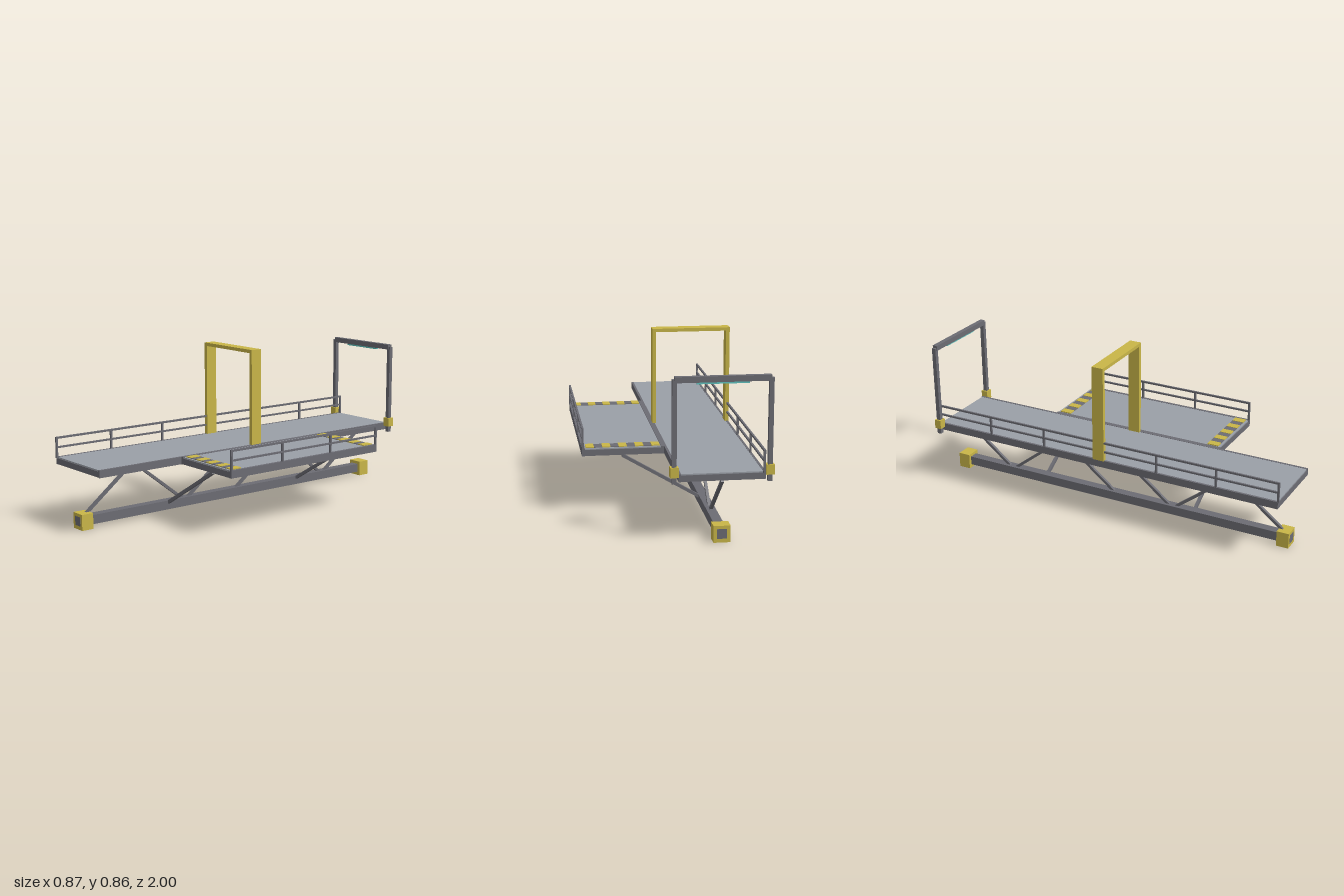
import * as THREE from 'three';

const mat = (name, color) => {
  const m = new THREE.MeshStandardMaterial({ color });
  m.name = name;
  return m;
};

export function createModel() {
  const model = new THREE.Group();
  model.name = 'gantryPlatform';
  const steel = mat('steelGrey', 0x6c6c73);
  const plate = mat('plateGrey', 0x9a9fa7);
  const yellow = mat('safetyYellow', 0xc9b648);
  const teal = mat('lampTeal', 0x5fc4c0);

  const group = (name) => {
    const g = new THREE.Group();
    g.name = name;
    model.add(g);
    return g;
  };
  // Box given by its extents on each axis
  const box = (parent, name, m, [x0, x1], [y0, y1], [z0, z1]) => {
    const mesh = new THREE.Mesh(new THREE.BoxGeometry(x1 - x0, y1 - y0, z1 - z0), m);
    mesh.position.set((x0 + x1) / 2, (y0 + y1) / 2, (z0 + z1) / 2);
    mesh.name = name;
    parent.add(mesh);
  };
  // Square bar between two points
  const bar = (parent, name, a, b, t) => {
    const p = new THREE.Vector3(...a), q = new THREE.Vector3(...b);
    const mesh = new THREE.Mesh(new THREE.BoxGeometry(t, t, p.distanceTo(q)), steel);
    mesh.position.copy(p).add(q).multiplyScalar(0.5);
    mesh.lookAt(q);
    mesh.name = name;
    parent.add(mesh);
  };

  // Deck: side beams, lower end beams, cross beams and floor plate
  const deck = (name, x0, x1, half, bays, beam) => {
    const g = group(name);
    box(g, 'sideBeam', steel, [x0, x0 + beam], [0.303, 0.342], [-half, half]);
    box(g, 'sideBeam', steel, [x1 - beam, x1], [0.303, 0.342], [-half, half]);
    for (let i = 0; i <= bays; i++) {
      const z = -half + 0.008 + (i / bays) * (2 * half - 0.016);
      box(g, 'crossBeam', steel, [x0 + beam, x1 - beam], [0.304, 0.335], [z - 0.008, z + 0.008]);
    }
    box(g, 'floorPlate', plate, [x0 + beam, x1 - beam], [0.331, 0.341], [-half + 0.004, half - 0.004]);
  };
  deck('mainDeck', -0.395, 0.018, 0.993, 6, 0.012);
  deck('sideDeck', 0.018, 0.432, 0.497, 4, 0.016);

  // Handrails: two long bars on evenly spaced posts
  const handrail = (name, x, half, bays) => {
    const g = group(name);
    const w = [x - 0.005, x + 0.005];
    box(g, 'topRail', steel, w, [0.436, 0.446], [-half, half]);
    box(g, 'midRail', steel, w, [0.387, 0.396], [-half, half]);
    for (let i = 0; i <= bays; i++) {
      const z = -half + 0.005 + (i / bays) * (2 * half - 0.01);
      box(g, 'railPost', steel, w, [0.335, 0.437], [z - 0.005, z + 0.005]);
    }
  };
  handrail('mainHandrail', -0.389, 0.997, 6);
  handrail('sideHandrail', 0.427, 0.497, 3);

  // Hazard strips at both ends of the side deck
  const hazard = group('hazardStrips');
  for (const s of [-1, 1]) {
    const z = [s * 0.45 - 0.031, s * 0.45 + 0.031];
    for (let i = 0; i < 9; i++) {
      const x = 0.038 + i * 0.0415;
      const even = i % 2 === 0;
      box(hazard, 'hazardStripe', even ? yellow : steel, [x, x + 0.0415], [0.34, even ? 0.346 : 0.344], z);
    }
  }

  // Keel beam with end caps
  const keel = group('keel');
  box(keel, 'keelBeam', steel, [-0.213, -0.165], [0.019, 0.067], [-1, 1]);
  for (const s of [-1, 1]) {
    box(keel, 'keelCap', yellow, [-0.23, -0.148], [0, 0.083], [s * 0.966 - 0.033, s * 0.966 + 0.033]);
  }

  // Zigzag truss between keel and main deck
  const truss = group('truss');
  const rising = [true, false, true, true, false, true];
  rising.forEach((up, i) => {
    const z = 0.99 - i * 0.33;
    const [ya, yb] = up ? [0.045, 0.303] : [0.303, 0.045];
    bar(truss, 'trussBrace', [-0.189, ya, z], [-0.189, yb, z - 0.33], 0.015);
  });
  // Struts carrying the side deck
  for (const z of [-0.45, 0.45]) {
    bar(truss, 'sideStrut', [-0.189, 0.045, z], [0.225, 0.29, z], 0.016);
  }

  // Yellow arch over the middle of the main deck
  const arch = group('arch');
  box(arch, 'archPost', yellow, [-0.397, -0.377], [0.34, 0.837], [-0.032, 0.032]);
  box(arch, 'archPost', yellow, [-0.001, 0.018], [0.34, 0.837], [-0.032, 0.032]);
  box(arch, 'archBeam', yellow, [-0.397, 0.018], [0.837, 0.855], [-0.032, 0.032]);

  // Rear gate with brackets and lamp
  const gate = group('rearGate');
  for (const x of [-0.417, 0.038]) {
    box(gate, 'gatePost', steel, [x - 0.011, x + 0.011], [0.292, 0.79], [-0.991, -0.969]);
    box(gate, 'gateBracket', yellow, [x - 0.02, x + 0.02], [0.325, 0.374], [-0.998, -0.961]);
  }
  box(gate, 'gateBeam', steel, [-0.416, 0.038], [0.775, 0.803], [-0.993, -0.967]);
  box(gate, 'gateLamp', teal, [-0.313, -0.065], [0.766, 0.775], [-0.986, -0.974]);

  return model;
}
